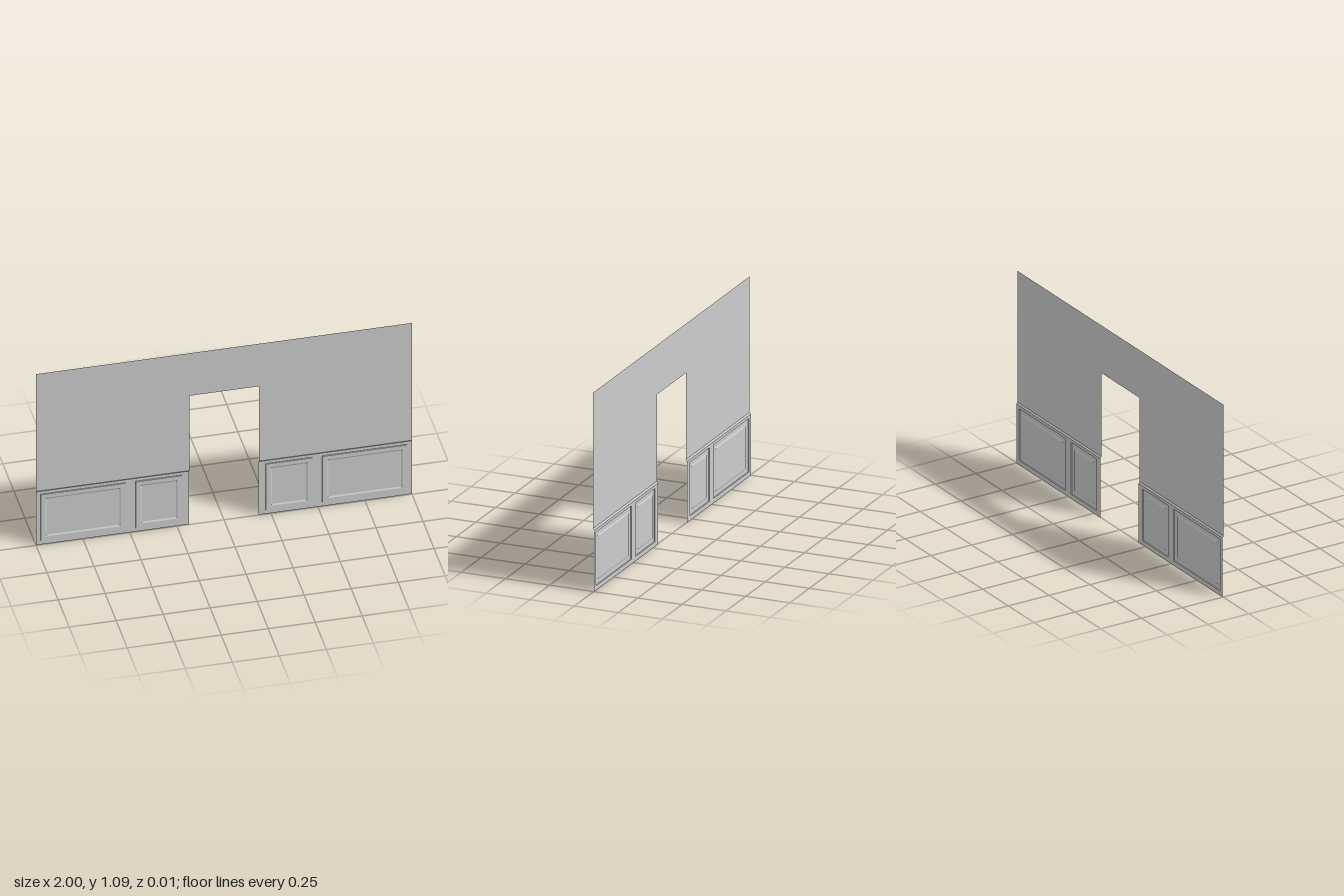
import * as THREE from 'three';

const HALF = 1, HEIGHT = 1.09, DOOR = 0.185, DOOR_TOP = 0.82, RAIL = 0.345;
const WALL_Z = 0.0035, FRAME_Z = -0.003, RAIL_Z = -0.0035;

const material = new THREE.MeshStandardMaterial({ color: 0xcccccc, side: THREE.DoubleSide });

function addMesh(parent, name, geometry, z = 0) {
  const mesh = new THREE.Mesh(geometry, material);
  mesh.name = name;
  mesh.position.z = z;
  parent.add(mesh);
}

// Corners of a rectangle, anticlockwise seen from the front
const rect = (x0, x1, y0, y1) => [[x0, y0], [x1, y0], [x1, y1], [x0, y1]];
const toPoints = (corners) => corners.map(([x, y]) => new THREE.Vector2(x, y));

// Joins successive cross-sections with crisp quads
function loft(sections, closed) {
  const pos = [];
  for (let i = 0; i < sections.length - 1; i++) {
    const a = sections[i], b = sections[i + 1], n = a.length;
    for (let j = 0; j < (closed ? n : n - 1); j++) {
      const k = (j + 1) % n;
      pos.push(...a[j], ...a[k], ...b[k], ...a[j], ...b[k], ...b[j]);
    }
  }
  const geometry = new THREE.BufferGeometry();
  geometry.setAttribute('position', new THREE.Float32BufferAttribute(pos, 3));
  geometry.computeVertexNormals();
  return geometry;
}

// Moulding profile from the outer edge inwards: [inset, z]
const moulding = [[0, FRAME_Z], [0.001, 0.002], [0.024, 0.002], [0.027, 0.001], [0.033, -0.002]];
// Chair rail profile from the wall downwards: [y, z]
const railProfile = [[0.345, WALL_Z], [0.3365, RAIL_Z], [0.334, RAIL_Z], [0.332, FRAME_Z]];
// Panel outlines on one side of the doorway: [inner x, outer x]
const panels = [[0.222, 0.47], [0.523, 0.975]];
const PANEL_Y0 = 0.025, PANEL_Y1 = 0.319;

function createWainscot(side) {
  const group = new THREE.Group();
  group.name = side > 0 ? 'leftWainscot' : 'rightWainscot';
  const span = (a, b) => (side > 0 ? [a, b] : [-b, -a]);
  const [x0, x1] = span(DOOR, HALF);

  // Chair rail
  const rail = railProfile.map(([y, z]) => [[x1, y, z], [x0, y, z]]);
  addMesh(group, 'chairRail', loft(rail, false));

  // Flat frame with an opening for each panel
  const frame = new THREE.Shape(toPoints(rect(x0, x1, 0, railProfile[3][0])));
  for (const [a, b] of panels) {
    const [p0, p1] = span(a, b);
    frame.holes.push(new THREE.Path(toPoints(rect(p0, p1, PANEL_Y0, PANEL_Y1))));

    // Stepped moulding around a set-back field
    const rings = moulding.map(([d, z]) =>
      rect(p0 + d, p1 - d, PANEL_Y0 + d, PANEL_Y1 - d).map(([x, y]) => [x, y, z]));
    addMesh(group, 'panelMoulding', loft(rings, true));
    const [d, z] = moulding[moulding.length - 1];
    const field = new THREE.Shape(toPoints(rect(p0 + d, p1 - d, PANEL_Y0 + d, PANEL_Y1 - d)));
    addMesh(group, 'panelField', new THREE.ShapeGeometry(field), z);
  }
  addMesh(group, 'panelFrame', new THREE.ShapeGeometry(frame), FRAME_Z);
  return group;
}

export function createModel() {
  const model = new THREE.Group();
  model.name = 'panelledWallWithDoorway';

  // Plain upper wall around the doorway
  const wall = new THREE.Shape(toPoints([
    [-HALF, RAIL], [-DOOR, RAIL], [-DOOR, DOOR_TOP], [DOOR, DOOR_TOP],
    [DOOR, RAIL], [HALF, RAIL], [HALF, HEIGHT], [-HALF, HEIGHT],
  ]));
  addMesh(model, 'upperWall', new THREE.ShapeGeometry(wall), WALL_Z);

  for (const side of [1, -1]) model.add(createWainscot(side));
  return model;
}
